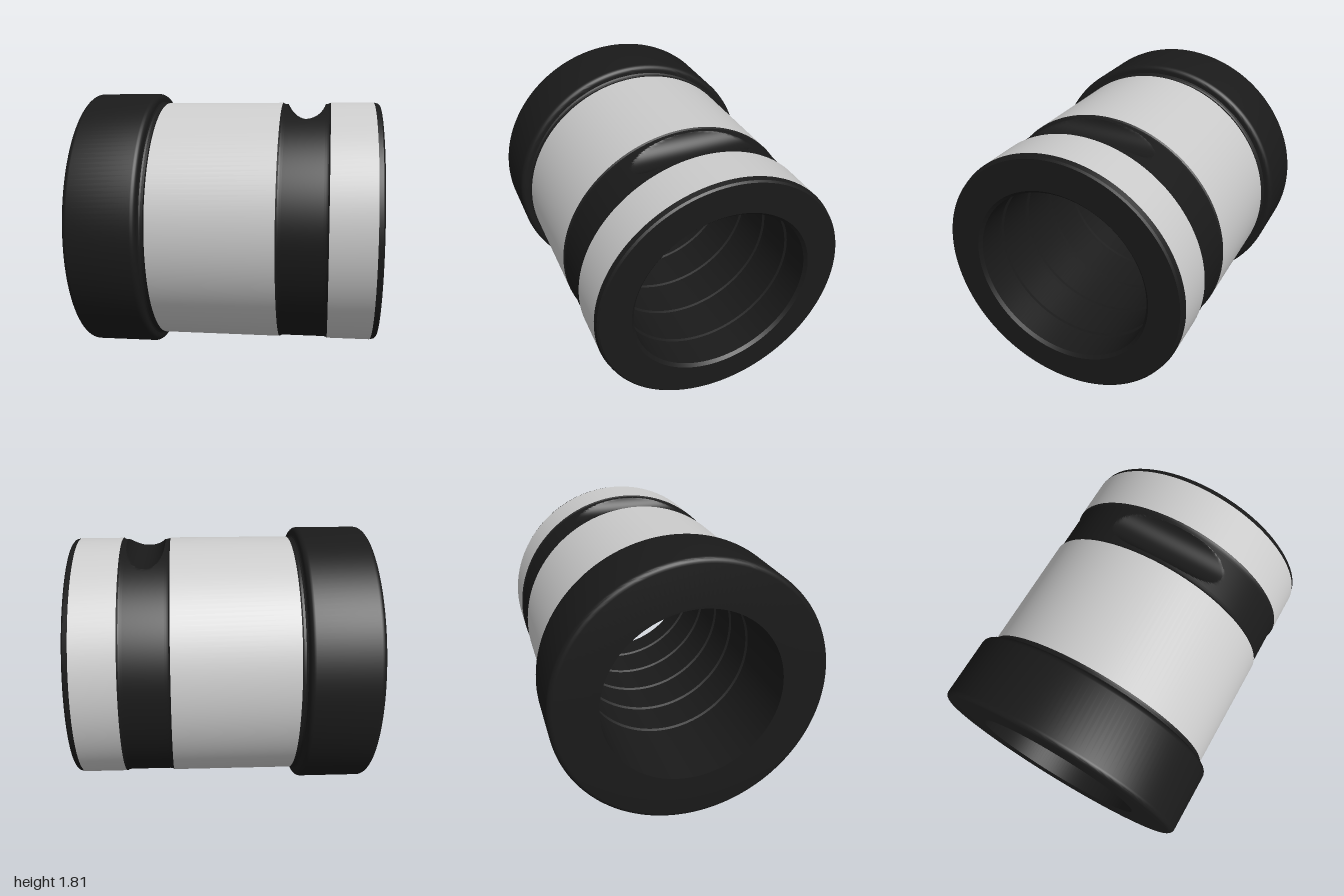
import * as THREE from 'three';
import { toCreasedNormals } from 'three/addons/utils/BufferGeometryUtils.js';

const AXIS_Y = 0.905;   // height of the bushing axis
const BORE = 0.595;
const SEGMENTS = 160;

const black = new THREE.MeshStandardMaterial({ color: 0x1a1a1a });
const grey = new THREE.MeshStandardMaterial({ color: 0xcccccc });

// Profile of [x along the axis, radius], revolved around the x axis.
// Increasing x faces outward, decreasing x faces the bore.
function revolve(profile, segments = SEGMENTS) {
  const points = profile.map(([x, r]) => new THREE.Vector2(r, x));
  return new THREE.LatheGeometry(points, segments).rotateZ(-Math.PI / 2);
}

function arc(cx, cr, radius, from, to, steps = 6) {
  return Array.from({ length: steps + 1 }, (_, i) => {
    const a = from + (to - from) * i / steps;
    return [cx + radius * Math.cos(a), cr + radius * Math.sin(a)];
  });
}

function addPart(group, name, geometry, material, crease = 0.5) {
  const mesh = new THREE.Mesh(toCreasedNormals(geometry, crease), material);
  mesh.name = name;
  mesh.position.y = AXIS_Y;
  group.add(mesh);
}

// Oil groove band with a round-bottomed pocket milled straight across its top
function oilBandGeometry() {
  const cx = 0.5, r = 0.83, cutRadius = 0.135, cutHeight = 0.86;
  const half = Math.sqrt(cutRadius ** 2 - (cutHeight - r) ** 2);
  const profile = [[0.335, 0.84], [0.345, 0.833], [0.36, r]];
  const steps = 32;
  for (let i = 0; i <= steps; i++) {
    profile.push([cx + half * Math.sin((i / steps - 0.5) * Math.PI), r]);
  }
  profile.push([0.64, r], [0.655, 0.833], [0.665, 0.84]);

  const geometry = revolve(profile, 360);
  const pos = geometry.attributes.position;
  for (let i = 0; i < pos.count; i++) {
    const dx = pos.getX(i) - cx;
    if (Math.abs(dx) > half + 1e-5) continue;
    const floor = cutHeight - Math.sqrt(cutRadius ** 2 - dx * dx);
    pos.setY(i, Math.min(pos.getY(i), floor));
  }
  geometry.computeVertexNormals();
  return geometry;
}

export function createModel() {
  const group = new THREE.Group();
  group.name = 'guideBushing';

  // Collar with rounded rims
  addPart(group, 'collar', revolve([
    [-1, BORE],
    ...arc(-0.965, 0.87, 0.035, Math.PI, Math.PI / 2),
    ...arc(-0.56, 0.87, 0.035, Math.PI / 2, 0),
    [-0.525, 0.845],
  ]), black);

  // Small relief between collar and sleeve
  addPart(group, 'neck', revolve([
    [-0.525, 0.85], [-0.52, 0.84], [-0.51, 0.834], [-0.495, 0.834], [-0.485, 0.84],
  ]), black);

  // Ground outer surfaces
  addPart(group, 'longSleeve', revolve([[-0.485, 0.84], [0.335, 0.84]]), grey);
  addPart(group, 'shortSleeve', revolve([[0.665, 0.84], [0.96, 0.84]]), grey);

  addPart(group, 'oilBand', oilBandGeometry(), black, 0.4);

  // Chamfered end face
  addPart(group, 'endFace', revolve([
    [0.96, 0.84], [0.99, 0.832], [1, 0.82], [1, 0.615], [0.98, BORE],
  ]), black);

  // Bore with evenly spaced shallow ring grooves
  const bore = [[0.98, BORE]];
  for (let i = 0; i < 5; i++) {
    const x = 0.77 - i * 0.3;
    bore.push([x + 0.025, BORE], [x + 0.018, BORE + 0.015],
      [x - 0.018, BORE + 0.015], [x - 0.025, BORE]);
  }
  bore.push([-1, BORE]);
  addPart(group, 'bore', revolve(bore), black);

  return group;
}
